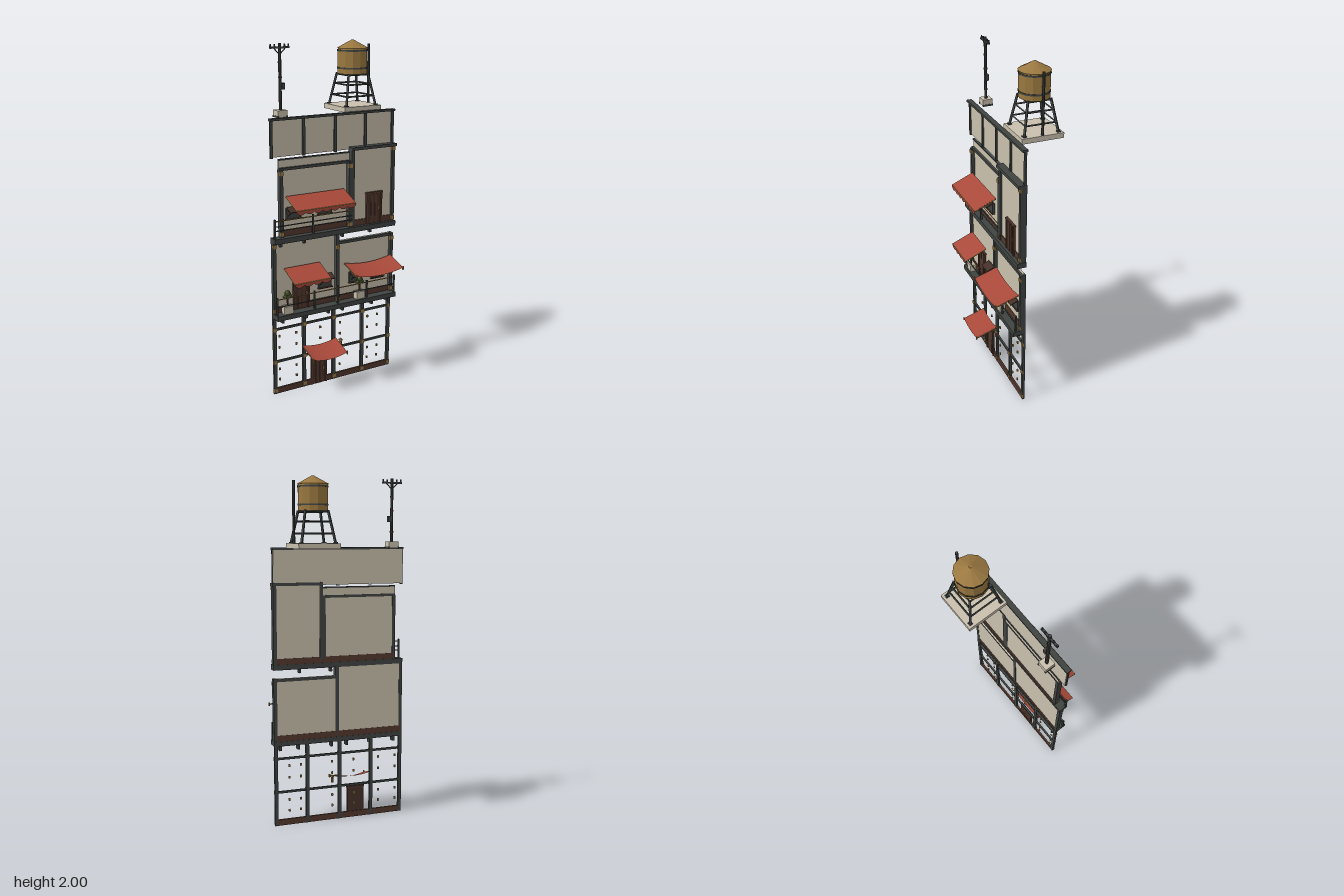
import * as THREE from 'three';

const mat = (color) => new THREE.MeshStandardMaterial({ color, flatShading: true, side: THREE.DoubleSide });
const DARK = mat(0x3f4441), CREAM = mat(0xc9c0ad), BROWN = mat(0x54392e), RED = mat(0xa8493a);
const TAN = mat(0x9c7a45), WOOD = mat(0x9a7840), GREEN = mat(0x5d6b3a), DOOR = mat(0x453029);

export function createModel() {
  const root = new THREE.Group();
  let parent = root;
  const section = (name) => { parent = new THREE.Group(); parent.name = name; root.add(parent); };
  const add = (name, geo, m, x = 0, y = 0, z = 0) => {
    const mesh = new THREE.Mesh(geo, m);
    mesh.name = name; mesh.position.set(x, y, z); parent.add(mesh);
    return mesh;
  };
  // box given by its extents
  const box = (name, m, x0, x1, y0, y1, z0, z1) =>
    add(name, new THREE.BoxGeometry(x1 - x0, y1 - y0, z1 - z0), m, (x0 + x1) / 2, (y0 + y1) / 2, (z0 + z1) / 2);
  // round or square bar between two points
  const bar = (name, m, a, b, r, sides = 6) => {
    const p = new THREE.Vector3(...a), q = new THREE.Vector3(...b);
    const mesh = add(name, new THREE.CylinderGeometry(r, r, p.distanceTo(q), sides), m);
    mesh.position.copy(p).add(q).multiplyScalar(0.5);
    mesh.quaternion.setFromUnitVectors(new THREE.Vector3(0, 1, 0), q.sub(p).normalize());
    return mesh;
  };
  const joint = (x, y, z, s = 0.011) => box('joint', TAN, x - s, x + s, y - s, y + s, z - 0.006, z + 0.004);

  // plank door with frame and handle
  const door = (x0, x1, y0, y1, z) => {
    box('door', DOOR, x0, x1, y0, y1, z - 0.008, z);
    box('doorLintel', BROWN, x0 - 0.003, x1 + 0.003, y1 - 0.01, y1, z - 0.008, z + 0.006);
    for (const x of [x0, x1 - 0.01]) box('doorJamb', BROWN, x, x + 0.01, y0, y1, z - 0.008, z + 0.005);
    for (const t of [0.37, 0.63]) {
      const x = x0 + (x1 - x0) * t;
      box('doorPlank', BROWN, x - 0.009, x + 0.009, y0, y1 - 0.012, z, z + 0.002);
    }
    box('doorHandle', TAN, x1 - 0.024, x1 - 0.018, y0 + 0.08, y0 + 0.1, z, z + 0.007);
  };
  // dark window with a propped shutter
  const windowUnit = (x0, x1, y0, y1, z) => {
    box('window', DARK, x0, x1, y0, y1, z - 0.008, z + 0.006);
    box('windowSill', BROWN, x0 - 0.004, x1 + 0.004, y0 - 0.006, y0, z - 0.006, z + 0.012);
    const w = x1 - x0;
    const s = add('shutter', new THREE.BoxGeometry(w, 0.005, 0.05), DOOR, (x0 + x1) / 2, y1 - 0.006, z + 0.025);
    s.rotation.x = 0.45;
    bar('shutterProp', DARK, [x0 + 0.01, y0 + 0.012, z], [x0 + 0.01, y1 - 0.016, z + 0.045], 0.002, 4);
  };
  // cloth awning: slopes from the wall, sags between its sides, optional scalloped valance
  const awning = (x0, x1, y0, y1, z0, z1, sag, valance) => {
    const cloth = new THREE.PlaneGeometry(1, 1, 12, 2), p = cloth.attributes.position;
    for (let i = 0; i < p.count; i++) {
      const u = p.getX(i) + 0.5, v = 0.5 - p.getY(i);
      p.setXYZ(i, x0 + (x1 - x0) * u, y0 + (y1 - y0) * v - sag * 4 * u * (1 - u), z0 + (z1 - z0) * v);
    }
    cloth.computeVertexNormals();
    add('awningCloth', cloth, RED);
    for (const x of [x0, x1]) {
      bar('awningArm', TAN, [x, y0 - 0.004, z0], [x, y1 - 0.004, z1], 0.003);
      if (sag) bar('awningPin', TAN, [x, y1 - 0.012, z1], [x, y1 + 0.008, z1], 0.005);
    }
    if (!valance) return;
    bar('awningRail', TAN, [x0, y1 - 0.002, z1], [x1, y1 - 0.002, z1], 0.003);
    const shape = new THREE.Shape(), n = Math.round((x1 - x0) / 0.055), w = (x1 - x0) / n;
    shape.moveTo(x0, y1);
    shape.lineTo(x0, y1 - valance * 0.6);
    for (let i = 0; i < n; i++)
      shape.quadraticCurveTo(x0 + w * (i + 0.5), y1 - valance * 1.5, x0 + w * (i + 1), y1 - valance * 0.6);
    shape.lineTo(x1, y1);
    add('awningValance', new THREE.ShapeGeometry(shape, 4), RED, 0, 0, z1);
  };
  const railing = (x0, x1, y, heights, z, posts) => {
    for (const h of heights) bar('rail', h === heights[0] ? TAN : DARK, [x0, y + h, z], [x1, y + h, z], 0.0035, 4);
    for (const x of posts) box('railPost', DARK, x - 0.005, x + 0.005, y, y + heights[0] + 0.012, z - 0.005, z + 0.005);
  };
  const plant = (x, y, z) => {
    box('planter', CREAM, x - 0.029, x + 0.029, y, y + 0.045, z - 0.018, z + 0.018);
    bar('stem', BROWN, [x, y + 0.04, z], [x, y + 0.09, z], 0.005);
    for (const [dx, dy, r] of [[0, 0.12, 0.02], [-0.014, 0.1, 0.016], [0.014, 0.1, 0.016]])
      add('foliage', new THREE.IcosahedronGeometry(r, 0), GREEN, x + dx, y + dy, z);
  };
  const wall = (x0, x1, y0, y1, z) => {
    box('wall', CREAM, x0, x1, y0, y1, 0.034, z);
    box('skirting', BROWN, x0, x1, y0, y0 + 0.035, 0.032, z + 0.006);
  };
  const post = (x, y0, y1, z0, z1, joints) => {
    box('post', DARK, x - 0.01, x + 0.01, y0, y1, z0, z1);
    for (const y of joints) joint(x, y, z1);
  };

  // open ground-floor frame
  section('groundFloor');
  box('baseBoard', BROWN, -0.4, 0.4, 0, 0.035, 0.032, 0.044);
  for (const x of [-0.39, -0.2, 0, 0.2, 0.39]) post(x, 0, 0.475, 0.03, 0.045, [0.022, 0.2, 0.4]);
  for (const y of [0.2, 0.4]) box('beam', DARK, -0.4, 0.4, y - 0.006, y + 0.006, 0.032, 0.044);
  [-0.36, -0.25, -0.09, 0.045, 0.24, 0.31].forEach((x, i) => {
    for (const y of [0.285, 0.355, 0.085, 0.15])
      box('wallFixing', TAN, x - 0.005, x + 0.005, y - 0.007, y + 0.007, 0.034, 0.042);
  });
  door(-0.156, -0.05, 0, 0.19, 0.044);
  awning(-0.213, 0.012, 0.268, 0.225, 0.045, 0.18, 0.018, 0);
  bar('lampArm', DARK, [0.037, 0.25, 0.04], [0.037, 0.25, 0.062], 0.003);
  add('lamp', new THREE.CylinderGeometry(0.006, 0.008, 0.035, 6), TAN, 0.037, 0.235, 0.062);
  add('lampCap', new THREE.ConeGeometry(0.013, 0.015, 6), TAN, 0.037, 0.26, 0.062);

  // first upper floor
  section('middleFloor');
  box('balcony', DARK, -0.4, 0.4, 0.475, 0.503, 0.03, 0.105);
  for (const x of [-0.35, -0.2, -0.05, 0.045, 0.25, 0.36]) box('joist', DARK, x - 0.007, x + 0.007, 0.445, 0.476, 0.04, 0.075);
  wall(-0.39, 0.015, 0.503, 0.92, 0.042);
  wall(0.015, 0.39, 0.503, 0.87, 0.046);
  box('cornice', DARK, 0.02, 0.4, 0.852, 0.868, 0.032, 0.058);
  post(-0.39, 0.5, 0.92, 0.032, 0.058, [0.52, 0.9]);
  post(0.015, 0.5, 0.92, 0.032, 0.065, [0.52, 0.84]);
  post(0.39, 0.5, 0.87, 0.032, 0.065, [0.52, 0.84]);
  door(-0.272, -0.166, 0.503, 0.7, 0.05);
  windowUnit(-0.105, -0.02, 0.605, 0.68, 0.046);
  windowUnit(0.1, 0.185, 0.605, 0.665, 0.05);
  windowUnit(0.255, 0.34, 0.605, 0.665, 0.05);
  awning(-0.335, -0.108, 0.77, 0.715, 0.065, 0.198, 0, 0.025);
  awning(0.058, 0.38, 0.735, 0.692, 0.065, 0.204, 0.02, 0);
  railing(-0.395, 0.395, 0.503, [0.095, 0.05], 0.088, [-0.395, -0.155, 0, 0.2, 0.395]);
  plant(-0.325, 0.505, 0.08);
  plant(0.155, 0.505, 0.08);

  // second upper floor
  section('topFloor');
  box('balcony', DARK, -0.4, 0.4, 0.92, 0.95, 0.03, 0.085);
  for (const x of [-0.35, -0.2, 0.05, 0.24]) box('joist', DARK, x - 0.007, x + 0.007, 0.895, 0.921, 0.04, 0.062);
  wall(-0.35, 0.105, 0.95, 1.385, 0.042);
  box('cornice', DARK, -0.35, 0.105, 1.325, 1.34, 0.032, 0.056);
  box('coping', DARK, -0.35, 0.105, 1.38, 1.388, 0.032, 0.046);
  wall(0.105, 0.39, 0.95, 1.41, 0.058);
  box('cornice', DARK, 0.1, 0.4, 1.398, 1.415, 0.032, 0.083);
  post(-0.342, 0.95, 1.33, 0.032, 0.062, [0.968, 1.31]);
  post(0.095, 0.95, 1.33, 0.032, 0.07, [0.968, 1.31]);
  post(0.112, 0.95, 1.41, 0.032, 0.07, []);
  post(0.388, 0.95, 1.41, 0.032, 0.07, [0.968, 1.385]);
  door(0.205, 0.313, 0.95, 1.14, 0.066);
  windowUnit(-0.31, -0.22, 1.05, 1.11, 0.05);
  windowUnit(-0.108, -0.02, 1.05, 1.11, 0.05);
  awning(-0.318, 0.053, 1.183, 1.128, 0.065, 0.194, 0, 0.026);
  railing(-0.395, 0.1, 0.95, [0.1, 0.07, 0.045], 0.075, [-0.395, -0.155]);

  // roof parapet
  section('parapet');
  box('parapetPanel', CREAM, -0.395, 0.395, 1.4, 1.605, 0.034, 0.04);
  box('parapetRail', DARK, -0.4, 0.4, 1.6, 1.612, 0.03, 0.06);
  for (const x of [-0.392, -0.193, 0.008, 0.207, 0.392]) box('batten', DARK, x - 0.008, x + 0.008, 1.395, 1.605, 0.038, 0.048);

  // water tank on its stand
  section('waterTank');
  const cx = 0.2, cz = -0.09;
  box('tankSlab', CREAM, 0.08, 0.32, 1.608, 1.637, -0.21, 0.03);
  add('tankBody', new THREE.CylinderGeometry(0.084, 0.084, 0.145, 12), WOOD, cx, 1.885, cz);
  add('tankRoof', new THREE.CylinderGeometry(0.008, 0.089, 0.044, 12), WOOD, cx, 1.978, cz);
  for (const y of [1.845, 1.943]) add('tankHoop', new THREE.CylinderGeometry(0.087, 0.087, 0.009, 12), DARK, cx, y, cz);
  const at = (sx, sz, y) => {
    const r = 0.097 - 0.032 * (y - 1.637) / 0.175;
    return [cx + sx * r, y, cz + sz * r];
  };
  const corners = [[-1, -1], [1, -1], [1, 1], [-1, 1]];
  corners.forEach(([sx, sz], i) => {
    const [tx, tz] = corners[(i + 1) % 4];
    bar('tankLeg', DARK, at(sx, sz, 1.635), at(sx, sz, 1.815), 0.008, 4);
    box('legFoot', DARK, cx + sx * 0.097 - 0.01, cx + sx * 0.097 + 0.01, 1.636, 1.643, cz + sz * 0.097 - 0.01, cz + sz * 0.097 + 0.01);
    for (const y of [1.69, 1.755, 1.808]) bar('tankBrace', DARK, at(sx, sz, y), at(tx, tz, y), 0.005, 4);
  });
  bar('ventPipe', DARK, [0.31, 1.637, cz], [0.31, 1.975, cz], 0.008, 8);

  // utility pole
  section('utilityPole');
  box('poleBase', CREAM, -0.33, -0.272, 1.608, 1.645, -0.05, 0.008);
  for (const x of [-0.328, -0.273]) box('baseFoot', DARK, x - 0.004, x + 0.004, 1.606, 1.616, -0.053, 0.01);
  bar('pole', DARK, [-0.3, 1.64, -0.02], [-0.3, 2, -0.02], 0.009, 8);
  box('crossArm', DARK, -0.36, -0.242, 1.972, 1.982, -0.026, -0.014);
  for (const x of [-0.355, -0.33, -0.27, -0.247]) add('insulator', new THREE.CylinderGeometry(0.004, 0.005, 0.016, 6), DARK, x, 1.988, -0.02);
  for (const s of [-1, 1]) bar('armBrace', DARK, [-0.3, 1.94, -0.02], [-0.3 + s * 0.035, 1.974, -0.02], 0.003, 4);
  box('switchBox', DARK, -0.293, -0.275, 1.755, 1.79, -0.03, -0.01);
  for (const y of [1.7, 1.82, 1.9]) add('poleRing', new THREE.CylinderGeometry(0.011, 0.011, 0.008, 8), BROWN, -0.3, y, -0.02);

  return root;
}
